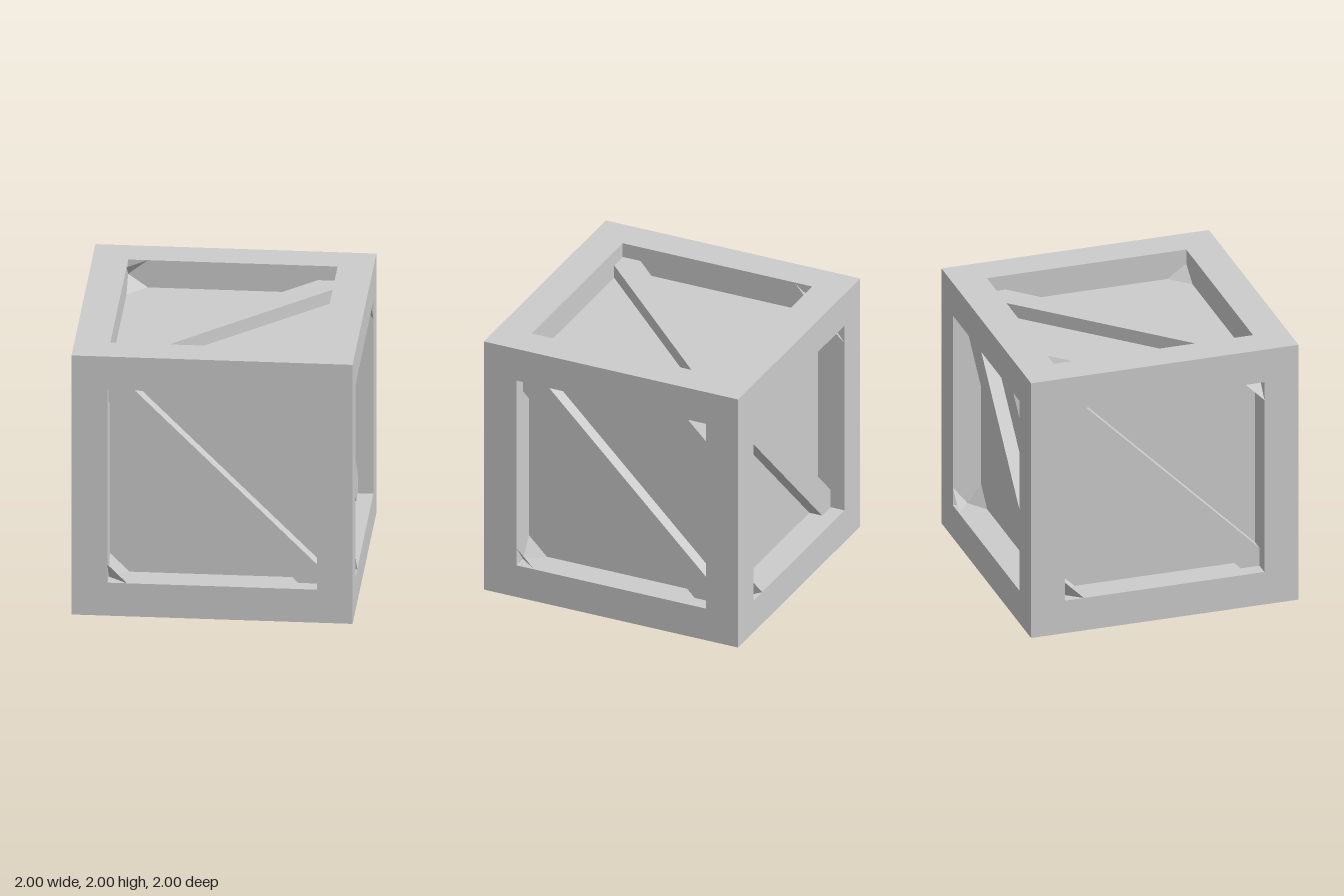
import * as THREE from 'three';

const HALF = 1, INNER = 0.745, PANEL = 0.79, BRACE = 0.89, LEG = 0.14;

const material = new THREE.MeshStandardMaterial({ color: 0xcccccc, flatShading: true });
const thin = new THREE.MeshStandardMaterial({ color: 0xcccccc, flatShading: true, side: THREE.DoubleSide });

function polygon(points) {
  return new THREE.Shape(points.map(([x, y]) => new THREE.Vector2(x, y)));
}

function slab(name, shape, from, to) {
  const geometry = new THREE.ExtrudeGeometry(shape, { depth: to - from, bevelEnabled: false });
  geometry.translate(0, 0, from);
  const mesh = new THREE.Mesh(geometry, material);
  mesh.name = name;
  return mesh;
}

const square = (s) => [[-s, -s], [s, -s], [s, s], [-s, s]];

// Sloped triangle from the corner edge to a diagonal line at the given depth
function cornerFacet(sx, sy, depth) {
  const geometry = new THREE.BufferGeometry();
  const x = sx * INNER, y = sy * INNER;
  geometry.setAttribute('position', new THREE.Float32BufferAttribute([
    x, y, BRACE,
    x - sx * LEG, y, depth,
    x, y - sy * LEG, depth,
  ], 3));
  geometry.computeVertexNormals();
  const mesh = new THREE.Mesh(geometry, thin);
  mesh.name = 'cornerFacet';
  return mesh;
}

// One side: border frame, diagonal brace and corner facets, facing +z.
// flip = -1 runs the brace from lower left to upper right.
function crateSide({ name, flip, corners }) {
  const side = new THREE.Group();
  side.name = name;

  const border = polygon(square(HALF));
  border.holes.push(polygon(square(INNER).reverse()));
  side.add(slab('frame', border, PANEL, HALF));

  const a = INNER, b = INNER - LEG;
  const brace = [[-a, a], [-a, b], [b, -a], [a, -a], [a, -b], [-b, a]];
  side.add(slab('diagonalBrace', polygon(brace.map(([x, y]) => [x * flip, y])), PANEL - 0.02, BRACE));

  for (const [sx, sy, outer] of corners) {
    side.add(cornerFacet(sx, sy, PANEL));
    if (outer) side.add(cornerFacet(sx, sy, HALF));
  }
  return side;
}

export function createModel() {
  const crate = new THREE.Group();
  crate.name = 'crate';

  // Recessed panels on all sides
  const core = new THREE.Mesh(new THREE.BoxGeometry(2 * PANEL, 2 * PANEL, 2 * PANEL), material);
  core.name = 'panels';
  crate.add(core);

  const lower = [-1, -1, true], upper = [1, 1, true];
  const sides = [
    { name: 'frontSide', ry: 0, flip: 1, corners: [lower] },
    { name: 'leftSide', ry: Math.PI / 2, flip: 1, corners: [lower, upper] },
    { name: 'backSide', ry: Math.PI, flip: 1, corners: [lower, upper] },
    { name: 'rightSide', ry: -Math.PI / 2, flip: 1, corners: [lower, upper] },
    { name: 'topSide', rx: -Math.PI / 2, flip: -1, corners: [[-1, 1, true], [1, -1, false]] },
    { name: 'bottomSide', rx: Math.PI / 2, flip: -1, corners: [] },
  ];
  for (const spec of sides) {
    const side = crateSide(spec);
    side.rotation.set(spec.rx || 0, spec.ry || 0, 0);
    crate.add(side);
  }

  crate.position.y = HALF;
  const model = new THREE.Group();
  model.name = 'woodenCrate';
  model.add(crate);
  return model;
}
